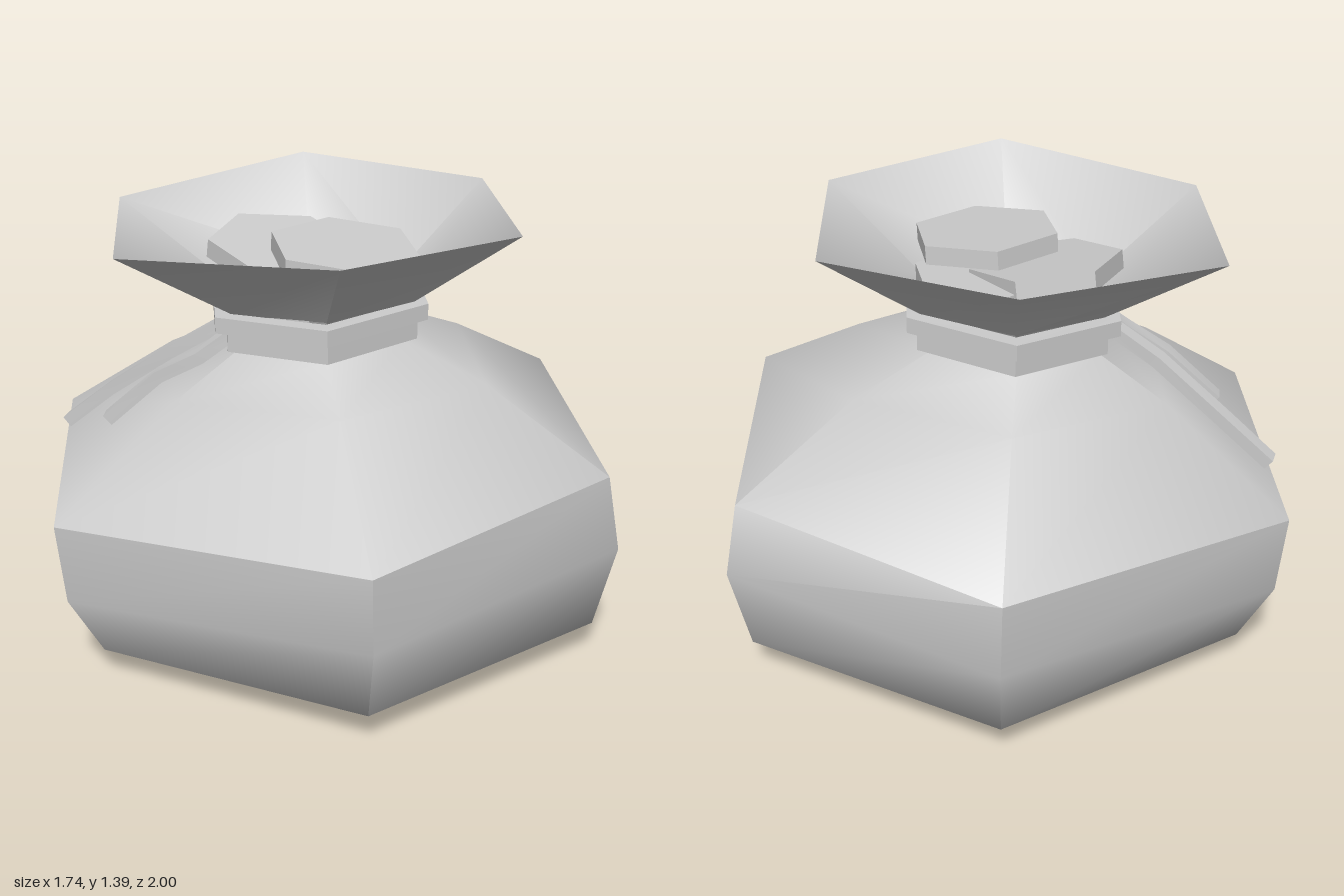
import * as THREE from 'three';
import { toCreasedNormals } from 'three/addons/utils/BufferGeometryUtils.js';

// Skin a stack of cross-section loops, optionally capping the ends
function loft(rings, capStart = false, capEnd = false) {
  const n = rings[0].length, last = (rings.length - 1) * n;
  const index = [];
  for (let i = 0; i < rings.length - 1; i++) {
    for (let k = 0; k < n; k++) {
      const a = i * n + k, b = i * n + (k + 1) % n;
      index.push(a, b, b + n, a, b + n, a + n);
    }
  }
  for (let k = 1; k < n - 1; k++) {
    if (capStart) index.push(0, k + 1, k);
    if (capEnd) index.push(last, last + k, last + k + 1);
  }
  const geo = new THREE.BufferGeometry().setFromPoints(rings.flat());
  geo.setIndex(index);
  return toCreasedNormals(geo, 0.9);
}

// Six-sided ring with separate left, middle and right positions, so it can lean
function hexRing([xL, yL, xM, yM, xR, yR, r]) {
  const h = r / 2;
  return [[xM, yM, r], [xR, yR, h], [xR, yR, -h], [xM, yM, -r], [xL, yL, -h], [xL, yL, h]]
    .map((p) => new THREE.Vector3(...p));
}

export function createModel() {
  const group = new THREE.Group();
  const grey = new THREE.MeshStandardMaterial({ color: 0xcccccc });
  grey.name = 'light grey';
  const greyCloth = new THREE.MeshStandardMaterial({ color: 0xcccccc, side: THREE.DoubleSide });
  greyCloth.name = 'light grey cloth';

  const add = (name, geo, mat = grey) => {
    const mesh = new THREE.Mesh(geo, mat);
    mesh.name = name;
    group.add(mesh);
    return mesh;
  };

  // Sack body, from flat base to neck
  add('sackBody', loft([
    [-0.565, 0, 0.04, 0, 0.65, 0, 0.7],
    [-0.74, 0.1, 0.037, 0.115, 0.81, 0.115, 0.92],
    [-0.84, 0.3, 0.04, 0.365, 0.865, 0.4, 1],
    [-0.865, 0.555, 0.035, 0.608, 0.82, 0.65, 1],
    [-0.5, 0.85, -0.01, 0.89, 0.47, 0.88, 0.55],
    [-0.3, 0.968, -0.035, 0.985, 0.22, 0.992, 0.32],
    [-0.29, 1.03, -0.035, 1.05, 0.22, 1.05, 0.3],
  ].map(hexRing), true), greyCloth);

  // Flared open mouth
  add('sackMouth', loft([
    [-0.29, 1.03, -0.035, 1.05, 0.22, 1.05, 0.3],
    [-0.31, 1.09, -0.03, 1.11, 0.25, 1.11, 0.315],
    [-0.655, 1.335, -0.025, 1.39, 0.55, 1.37, 0.672],
  ].map(hexRing)), greyCloth);

  // Two rope bands tied round the neck
  const band = (name, yL, yR, height, xL, xR, r) => {
    const yM = (yL + yR) / 2, t = 0.05;
    const ring = (dy, inset) => hexRing([
      xL + inset, yL + dy, (xL + xR) / 2, yM + dy, xR - inset, yR + dy, r - inset * 1.15]);
    add(name, loft([ring(0, t), ring(0, 0), ring(height, 0), ring(height, t), ring(0, t)]));
  };
  band('lowerRopeBand', 0.972, 0.997, 0.066, -0.325, 0.267, 0.34);
  band('upperRopeBand', 1.04, 1.064, 0.052, -0.362, 0.297, 0.372);

  // Loose rope ends lying on the shoulder
  const ropeEnd = (name, path) => {
    const pts = path.map((p) => new THREE.Vector3(...p));
    const rings = pts.map((p, i) => {
      const d = pts[Math.min(i + 1, pts.length - 1)].clone().sub(pts[Math.max(i - 1, 0)]).normalize();
      const side = new THREE.Vector3(-d.z, 0, d.x).normalize().multiplyScalar(-0.026);
      const out = d.clone().cross(side).normalize().multiplyScalar(0.02);
      return [[1, 1], [-1, 1], [-1, -1], [1, -1]].map(([s, o]) =>
        p.clone().addScaledVector(side, s).addScaledVector(out, o));
    });
    add(name, loft(rings, true, true));
  };
  ropeEnd('longRopeEnd', [
    [-0.31, 1.02, 0], [-0.5, 0.895, -0.06], [-0.7, 0.735, -0.16], [-0.855, 0.6, -0.215]]);
  ropeEnd('shortRopeEnd', [
    [-0.31, 1.01, 0.1], [-0.41, 0.935, 0.1], [-0.54, 0.86, 0.06], [-0.71, 0.705, 0.03]]);

  // Six-sided coins piled in the mouth: top centre, radius, spin, tilt towards front
  const coins = [
    [0.045, 1.29, 0.1, 0.24, 0.12, 0.08],
    [-0.135, 1.25, -0.065, 0.24, 0.6, 0.17],
    [0.05, 1.22, -0.08, 0.235, 0.15, 0.03],
    [-0.08, 1.16, 0.05, 0.24, 0.0, 0.05],
  ];
  coins.forEach(([x, y, z, r, spin, tilt], i) => {
    const geo = new THREE.CylinderGeometry(r, r, 0.06, 6).toNonIndexed();
    geo.computeVertexNormals();
    geo.translate(0, -0.03, 0);
    const coin = add('coin' + (i + 1), geo);
    const axis = new THREE.Vector3(0.82, 0, -0.57);
    coin.quaternion.setFromAxisAngle(axis.normalize(), tilt)
      .multiply(new THREE.Quaternion().setFromAxisAngle(new THREE.Vector3(0, 1, 0), spin));
    coin.position.set(x, y, z);
  });

  return group;
}
